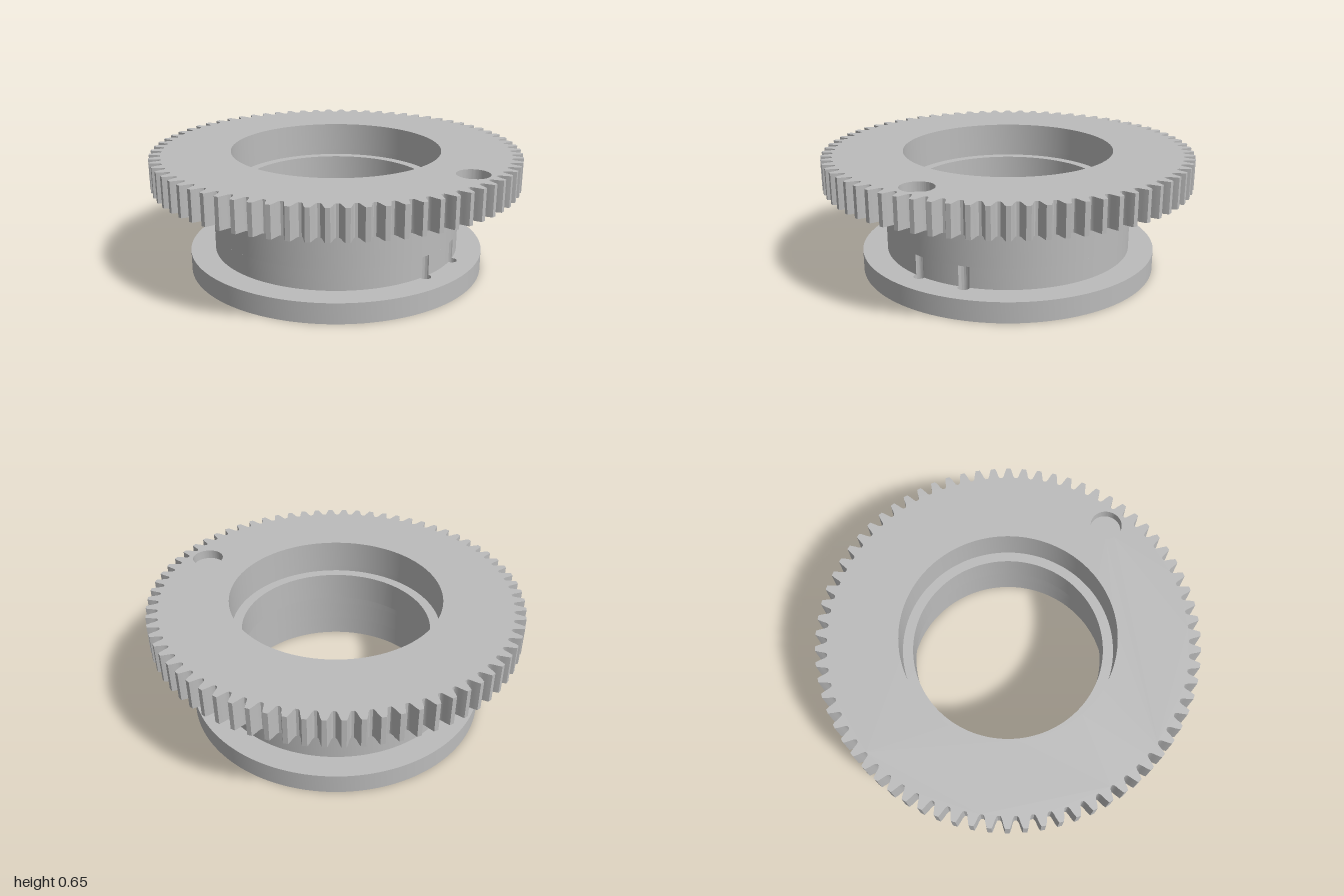
import * as THREE from 'three';
import { toCreasedNormals } from 'three/addons/utils/BufferGeometryUtils.js';

const BORE = 0.57, LIP = 0.515, NECK = 0.675, FLANGE = 0.81;
const TEETH = 72;
const PIN_R = 0.03, PIN_DIST = 0.68;
const PIN_ANGLES = [-1, 1].map((s) => -Math.PI / 2 + s * 0.197);
const POCKET = { z: 0.835, r: 0.085, floor: 0.6 };

// Outlines are drawn in plan with shape y = -z
function circle(r, x = 0, y = 0, Kind = THREE.Path) {
  const p = new Kind();
  p.absarc(x, y, r, 0, Math.PI * 2, false);
  return p;
}

function disc(r, ...holes) {
  const s = circle(r, 0, 0, THREE.Shape);
  s.holes.push(...holes);
  return s;
}

// Spur gear outline: each tooth is a mirrored half profile of [radius, half angle]
function gearShape() {
  const half = [[0.939, 0.037], [0.945, 0.031], [0.957, 0.026], [0.973, 0.0215], [0.988, 0.0165], [1, 0.0115]];
  const profile = [
    ...half.map(([r, a]) => [r, -a]),
    ...half.slice().reverse().map(([r, a]) => [r, a]),
  ];
  const pts = [];
  for (let i = 0; i < TEETH; i++) {
    const mid = (i / TEETH) * Math.PI * 2;
    for (const [r, a] of profile) {
      pts.push(new THREE.Vector2(r * Math.cos(mid + a), r * Math.sin(mid + a)));
    }
  }
  const s = new THREE.Shape(pts);
  s.holes.push(circle(BORE), circle(POCKET.r, 0, -POCKET.z));
  return s;
}

// Neck outline with two round grooves where the pin holes cut into it
function groovedNeckShape() {
  const d = Math.acos((PIN_DIST ** 2 + NECK ** 2 - PIN_R ** 2) / (2 * PIN_DIST * NECK));
  const s = new THREE.Shape();
  const groove = (phi) => {
    const cx = PIN_DIST * Math.cos(phi), cy = PIN_DIST * Math.sin(phi);
    const at = (a) => Math.atan2(NECK * Math.sin(a) - cy, NECK * Math.cos(a) - cx);
    s.absarc(cx, cy, PIN_R, at(phi - d), at(phi + d), true);
  };
  const [p1, p2] = PIN_ANGLES;
  s.absarc(0, 0, NECK, p1 + d, p2 - d, false);
  groove(p2);
  s.absarc(0, 0, NECK, p2 + d, p1 - d + Math.PI * 2, false);
  groove(p1);
  s.holes.push(circle(BORE));
  return s;
}

export function createModel() {
  const group = new THREE.Group();
  const steel = new THREE.MeshStandardMaterial({ color: 0xbcbcbc });
  steel.name = 'grey steel';

  // Stand a plan outline up between two heights
  function slab(name, shape, y0, y1) {
    const flat = new THREE.ExtrudeGeometry(shape, { depth: y1 - y0, bevelEnabled: false, curveSegments: 96 });
    flat.rotateX(-Math.PI / 2);
    flat.translate(0, y0, 0);
    const mesh = new THREE.Mesh(toCreasedNormals(flat, 0.45), steel);
    mesh.name = name;
    group.add(mesh);
  }

  // Base flange with two pin holes
  const pinHoles = PIN_ANGLES.map((a) => circle(PIN_R, PIN_DIST * Math.cos(a), PIN_DIST * Math.sin(a)));
  slab('baseFlange', disc(FLANGE, circle(BORE), ...pinHoles), 0, 0.11);

  // Neck: grooved below, plain above
  slab('groovedNeck', groovedNeckShape(), 0.11, 0.22);
  slab('neck', disc(NECK, circle(BORE)), 0.22, 0.49);

  // Raised lip inside the bore
  slab('boreLip', disc(BORE, circle(LIP)), 0.3, 0.46);

  // Toothed wheel, with a floor closing its shallow round pocket
  slab('gearWheel', gearShape(), 0.49, 0.65);
  slab('pocketFloor', circle(POCKET.r, 0, -POCKET.z, THREE.Shape), 0.49, POCKET.floor);

  return group;
}
